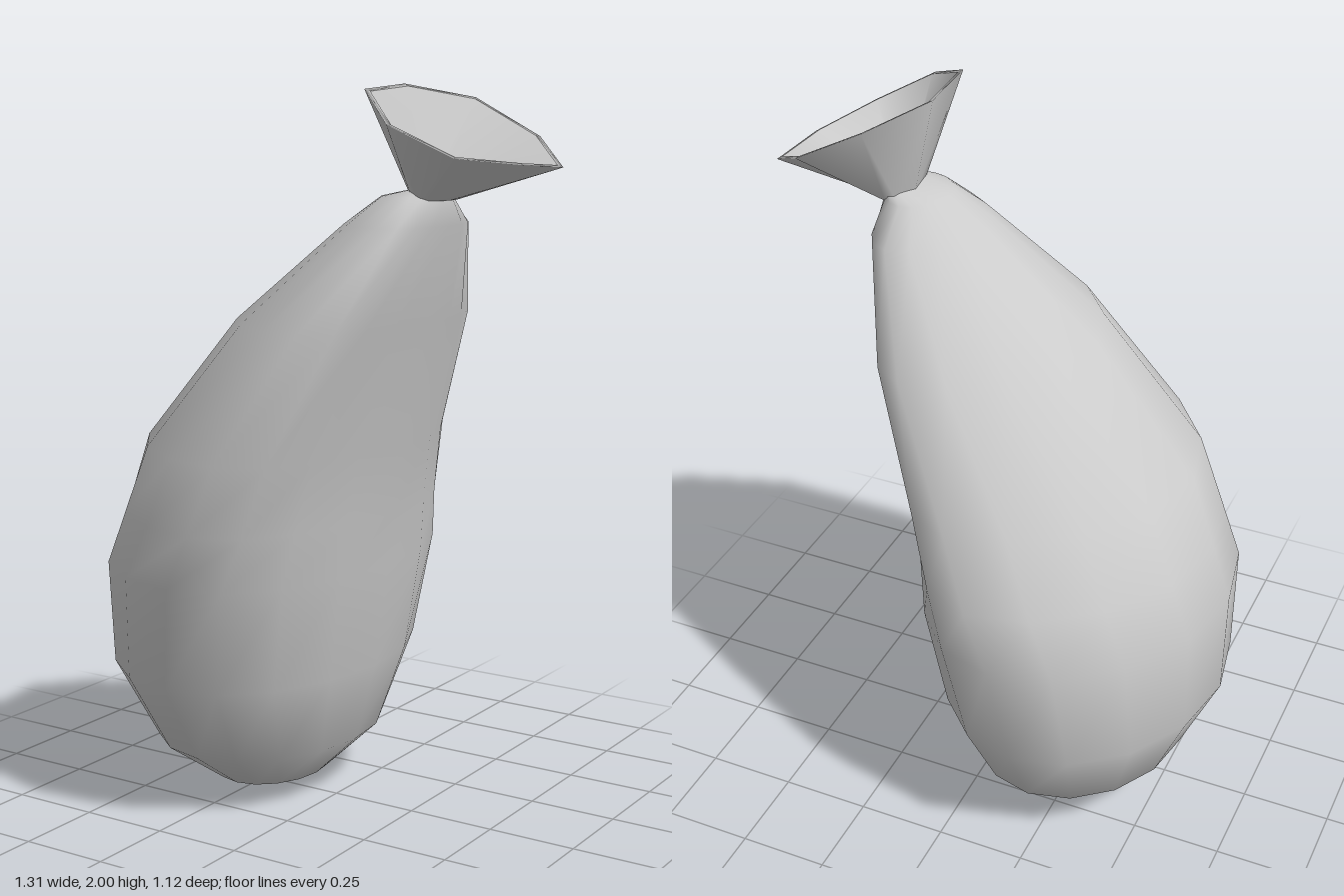
import * as THREE from 'three';

const V = (x, y, z) => new THREE.Vector3(x, y, z);

// Skin a list of closed rings (equal point counts, counter-clockwise seen from above)
function loft(rings, material, name) {
  const n = rings[0].length, index = [];
  for (let r = 0; r < rings.length - 1; r++) {
    for (let i = 0; i < n; i++) {
      const j = (i + 1) % n;
      const a = r * n + i, b = r * n + j, c = a + n, d = b + n;
      index.push(a, b, d, a, d, c);
    }
  }
  const g = new THREE.BufferGeometry().setFromPoints(rings.flat());
  g.setIndex(index);
  g.computeVertexNormals();
  const mesh = new THREE.Mesh(g, material);
  mesh.name = name;
  return mesh;
}

export function createModel() {
  const group = new THREE.Group();
  group.name = 'tiedSack';
  const cloth = new THREE.MeshStandardMaterial({ color: 0xcccccc, side: THREE.DoubleSide });

  // Sack body: height, x extent, z extent, depth of the side folds,
  // and how far the widest points sit towards +x
  const sections = [
    [0.00, -0.235, -0.225, -0.04, -0.03, 0, 0],
    [0.035, -0.385, -0.09, -0.22, 0.16, 0, 0],
    [0.165, -0.55, 0.045, -0.41, 0.35, 0, 0.02],
    [0.40, -0.655, 0.12, -0.53, 0.495, 0, 0.04],
    [0.70, -0.655, 0.17, -0.555, 0.555, 0, 0.07],
    [0.85, -0.595, 0.20, -0.525, 0.56, 0.06, 0.1],
    [1.04, -0.52, 0.24, -0.475, 0.55, 0.09, 0.12],
    [1.38, -0.22, 0.325, -0.33, 0.455, 0.1, 0.12],
    [1.64, 0.10, 0.395, -0.135, 0.275, 0.06, 0.05],
    [1.715, 0.21, 0.385, -0.03, 0.19, 0.02, 0.01],
    [1.735, 0.305, 0.385, 0.00, 0.15, 0, 0],
  ];
  const sides = 16;
  const bodyRings = sections.map(([y, x0, x1, z0, z1, fold, shift]) =>
    Array.from({ length: sides }, (_, i) => {
      const t = -i / sides * Math.PI * 2;
      const c = Math.cos(t), s = Math.sin(t);
      // shallow folds either side of the ridge that runs up to the neck
      const k = c > 0.01 ? 1 - fold * Math.sin(2 * t) ** 2 : 1;
      return V(
        (x0 + x1) / 2 + (x1 - x0) / 2 * c * k + shift * s * s, y,
        (z0 + z1) / 2 + (z1 - z0) / 2 * s * k);
    }));
  group.add(loft(bodyRings, cloth, 'sackBody'));

  // Flared mouth above the tie, with an uneven eight-cornered rim
  const rim = [
    V(0.655, 1.79, -0.045), V(0.53, 1.865, -0.16), V(0.34, 1.965, -0.155), V(0.23, 2.0, 0.03),
    V(0.26, 1.985, 0.275), V(0.41, 1.90, 0.415), V(0.56, 1.82, 0.35), V(0.635, 1.80, 0.135),
  ];
  const neck = V(0.35, 1.715, 0.075);
  const centre = rim.reduce((s, p) => s.add(p), V(0, 0, 0)).divideScalar(rim.length);
  // horizontal neck ring following the directions of the rim corners
  const neckRing = (rx, rz, y) => rim.map((p) => {
    const a = Math.atan2(p.z - centre.z, p.x - centre.x);
    return V(neck.x + rx * Math.cos(a), y, neck.z + rz * Math.sin(a));
  });
  const innerRim = rim.map((p) => p.clone().lerp(centre, 0.06));
  group.add(loft([neckRing(0.05, 0.075, 1.705), rim, innerRim], cloth, 'mouthOuter'));
  group.add(loft([innerRim, neckRing(0.025, 0.04, 1.735)], cloth, 'mouthInner'));

  // Small knot at the bottom of the mouth
  const knot = new THREE.Mesh(new THREE.SphereGeometry(0.035, 6, 4), cloth);
  knot.name = 'knot';
  knot.scale.set(1, 0.8, 1.35);
  knot.position.set(0.355, 1.735, 0.07);
  group.add(knot);

  return group;
}
